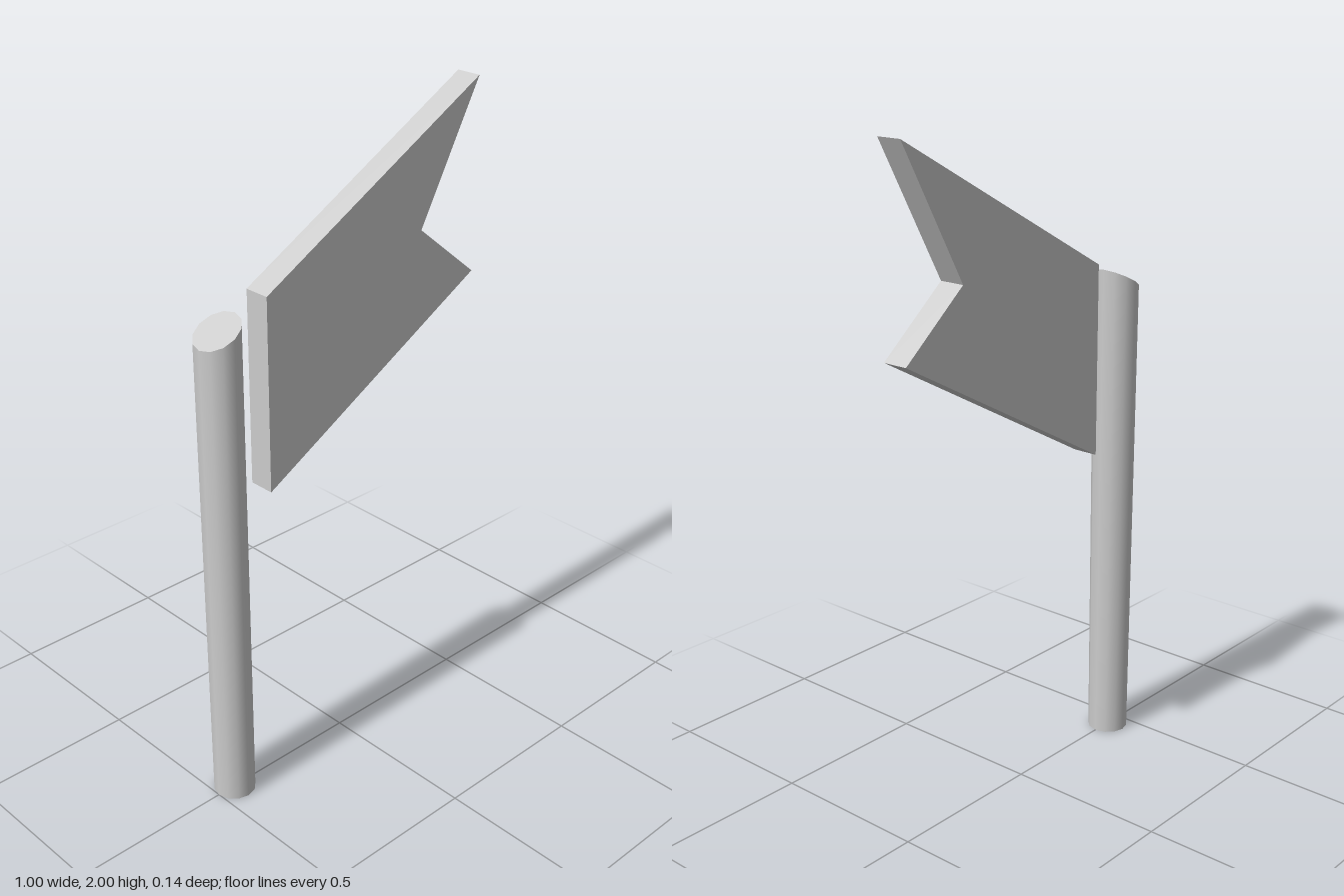
import * as THREE from 'three';

const HEIGHT = 1.495; // pole height on its axis

// Twelve-sided pole, slightly deeper towards the top, cut off at a slant
function poleGeometry() {
  const geometry = new THREE.CylinderGeometry(0.0625, 0.0625, HEIGHT, 12);
  geometry.translate(0, HEIGHT / 2, 0);
  const { position, normal } = geometry.attributes;
  const slope = 0.56;
  const topNormal = new THREE.Vector3(-slope, 1, 0).normalize();
  for (let i = 0; i < position.count; i++) {
    const t = position.getY(i) / HEIGHT;
    position.setZ(i, position.getZ(i) * (1.01 + 0.13 * t));
    position.setY(i, t * (HEIGHT + slope * position.getX(i)));
    if (normal.getY(i) > 0.9) normal.setXYZ(i, ...topNormal.toArray());
  }
  return geometry;
}

// Slanted pennant with a notched end
function flagGeometry() {
  const outline = [[-0.3, 0.98], [0.5, 1.42], [0.28, 1.6], [0.5, 2], [-0.3, 1.563]];
  const shape = new THREE.Shape(outline.map(([x, y]) => new THREE.Vector2(x, y)));
  const geometry = new THREE.ExtrudeGeometry(shape, { depth: 0.08, bevelEnabled: false });
  return geometry.translate(0, 0, -0.04);
}

export function createModel() {
  const group = new THREE.Group();
  const material = new THREE.MeshStandardMaterial({ color: 0xcccccc });

  const pole = new THREE.Mesh(poleGeometry(), material);
  pole.name = 'pole';
  pole.position.x = -0.4375;

  const flag = new THREE.Mesh(flagGeometry(), material);
  flag.name = 'flag';

  group.add(pole, flag);
  return group;
}
